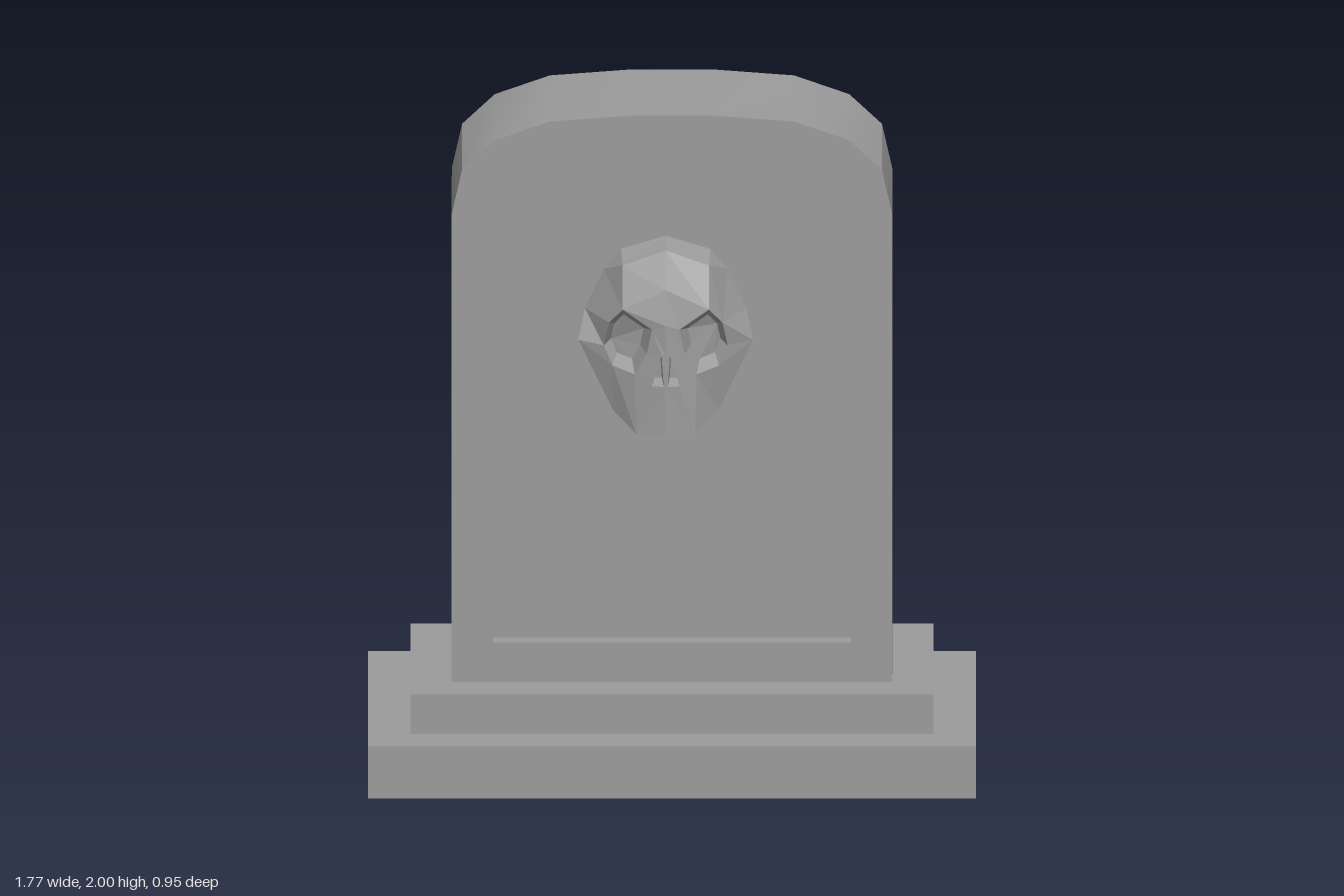
import * as THREE from 'three';
import { toCreasedNormals } from 'three/addons/utils/BufferGeometryUtils.js';

const STONE = 0x9b9b9b;
const material = new THREE.MeshStandardMaterial({ color: STONE, side: THREE.DoubleSide });
const flatMaterial = new THREE.MeshStandardMaterial({ color: STONE, side: THREE.DoubleSide, flatShading: true });

// Geometry from polygons (arrays of [x, y, z]), each split into a fan
function polygons(list) {
  const pos = [];
  for (const p of list)
    for (let i = 1; i < p.length - 1; i++) pos.push(...p[0], ...p[i], ...p[i + 1]);
  const g = new THREE.BufferGeometry();
  g.setAttribute('position', new THREE.Float32BufferAttribute(pos, 3));
  g.computeVertexNormals();
  return g;
}

// Skin between consecutive cross-sections
function loft(sections, closed) {
  const quads = [];
  for (let s = 0; s < sections.length - 1; s++) {
    const a = sections[s], b = sections[s + 1], n = a.length;
    for (let i = 0; i < (closed ? n : n - 1); i++) {
      const j = (i + 1) % n;
      quads.push([a[i], a[j], b[j], b[i]]);
    }
  }
  return polygons(quads);
}

// Symmetric outline, counter-clockwise, from its right half
const mirrored = half => [...half, ...half.map(([x, y]) => [-x, y]).reverse()];
const atZ = (outline, z) => outline.map(([x, y]) => [x, y, z]);
const vectors = outline => outline.map(([x, y]) => new THREE.Vector2(x, y));

const BACK = -0.23, FRONT = 0.23, PANEL = 0.18;

function createSkull() {
  // Right half: x, y, z
  const v = [
    [0, 1.62, PANEL], [0, 1.605, 0.28], [0, 1.51, 0.365], [0, 1.41, 0.393],             // 0-3 centre line
    [0.13, 1.58, PANEL], [0.125, 1.56, 0.28], [0.125, 1.45, 0.36],                      // 4-6 crown, brow
    [0.18, 1.52, PANEL], [0.235, 1.40, PANEL], [0.165, 1.40, 0.325],                    // 7-9 temple
    [0.254, 1.325, 0.25], [0.18, 1.325, 0.305], [0.155, 1.27, 0.325],                   // 10-12 cheek
    [0.09, 1.255, 0.365], [0.055, 1.32, 0.375], [0.04, 1.395, 0.38],                    // 13-15 inner eye
    [0, 1.32, 0.393], [0.04, 1.225, 0.385], [0, 1.225, 0.393],                          // 16-18 nose
    [0.085, 1.075, 0.372], [0, 1.075, 0.393], [0.153, 1.13, 0.31],                      // 19-21 jaw
    [0.14, 1.12, PANEL], [0.245, 1.32, PANEL], [0.07, 1.075, PANEL], [0, 1.075, PANEL], // 22-25 back edge
    [0.012, 1.32, 0.392], [0.006, 1.225, 0.392],                                        // 26-27 septum
  ];
  const faces = [
    [1, 5, 4, 0], [1, 2, 6, 5], [2, 3, 15, 6], [5, 6, 9, 7], [5, 7, 4], [7, 9, 8],
    [9, 11, 10, 8], [8, 10, 23], [11, 12, 10], [12, 21, 10], [10, 21, 22, 23],
    [13, 19, 21, 12], [14, 17, 19, 13], [14, 26, 17], [3, 16, 26, 14, 15],
    [16, 18, 27, 26], [18, 20, 19, 17, 27], [20, 25, 24, 19], [19, 24, 22, 21],
  ].map(f => f.map(i => v[i]));

  // Eye and nose cavities: rim shrunk and pushed back
  const cavity = (ids, scale, depth) => {
    const rim = ids.map(i => v[i]);
    const c = [0, 1, 2].map(k => rim.reduce((s, p) => s + p[k], 0) / rim.length);
    const floor = rim.map(p => [
      c[0] + (p[0] - c[0]) * scale, c[1] + (p[1] - c[1]) * scale, c[2] + (p[2] - c[2]) * scale - depth]);
    rim.forEach((p, i) => {
      const j = (i + 1) % rim.length;
      faces.push([p, rim[j], floor[j], floor[i]]);
    });
    faces.push(floor);
  };
  cavity([9, 6, 15, 14, 13, 12, 11], 0.68, 0.06);
  cavity([26, 27, 17], 0.6, 0.05);

  const otherHalf = faces.map(f => f.map(([x, y, z]) => [-x, y, z]).reverse());
  const skull = new THREE.Mesh(polygons([...faces, ...otherHalf]), flatMaterial);
  skull.position.x = -0.018;
  return skull;
}

export function createModel() {
  const group = new THREE.Group();
  const add = (name, geometry) => {
    const mesh = new THREE.Mesh(geometry, material);
    mesh.name = name;
    group.add(mesh);
  };

  // Two-step plinth, hollow underneath
  const steps = [[0.883, 0, 0.474], [0.883, 0.16, 0.474], [0.76, 0.16, 0.354], [0.76, 0.28, 0.354], [0.64, 0.28, 0.23]];
  add('steppedBase', loft(steps.map(([w, y, d]) => [[w, y, d], [w, y, -d], [-w, y, -d], [-w, y, d]]), true));

  // Slab with an arched top
  const slab = mirrored([[0.64, 0.28], [0.64, 1.70], [0.61, 1.835], [0.515, 1.925], [0.355, 1.982], [0.12, 2.0]]);
  const recess = mirrored([[0.52, 0.40], [0.52, 1.685], [0.50, 1.77], [0.455, 1.825], [0.33, 1.865], [0.12, 1.885]]);
  add('slabSides', toCreasedNormals(loft([atZ(slab, BACK), atZ(slab, FRONT)], false), Math.PI / 6));
  add('slabBack', new THREE.ShapeGeometry(new THREE.Shape(vectors(slab))).rotateY(Math.PI).translate(0, 0, BACK));
  const frame = new THREE.Shape(vectors(slab));
  frame.holes.push(new THREE.Path(vectors(recess)));
  add('slabFrontFrame', new THREE.ShapeGeometry(frame).translate(0, 0, FRONT));

  // Sunken front panel
  add('recessSides', toCreasedNormals(loft([atZ(recess, FRONT), atZ(recess, PANEL)], true), Math.PI / 6));
  add('recessPanel', new THREE.ShapeGeometry(new THREE.Shape(vectors(recess))).translate(0, 0, PANEL));

  const skull = createSkull();
  skull.name = 'skullRelief';
  group.add(skull);
  return group;
}
